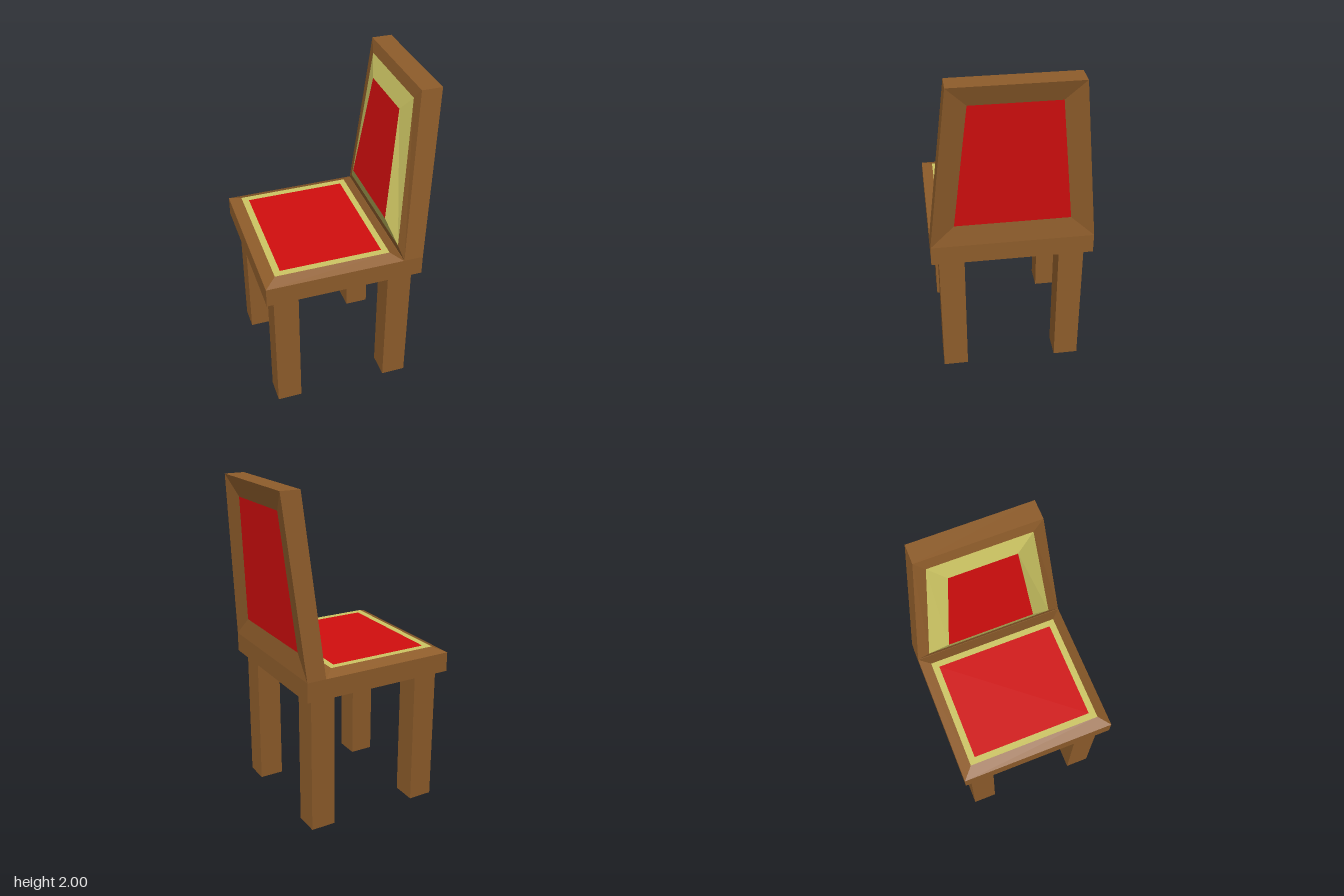
import * as THREE from 'three';

const material = (color) => new THREE.MeshStandardMaterial({ color, flatShading: true });

// Four-corner outlines, counterclockwise as seen from outside
const seatLoop = (y, x0, x1, z) => [[x0, y, z], [x1, y, z], [x1, y, -z], [x0, y, -z]];
const backLoop = (x0, y0, z0, x1, y1, z1) => [[x0, y0, -z0], [x0, y0, z0], [x1, y1, z1], [x1, y1, -z1]];

function quads(name, list, mat) {
  const pos = [];
  for (const [a, b, c, d] of list) pos.push(...a, ...b, ...c, ...a, ...c, ...d);
  const geo = new THREE.BufferGeometry();
  geo.setAttribute('position', new THREE.Float32BufferAttribute(pos, 3));
  geo.computeVertexNormals();
  const mesh = new THREE.Mesh(geo, mat);
  mesh.name = name;
  return mesh;
}

// Strip of four faces between an outer and an inner outline
const ring = (outer, inner) => outer.map((p, i) => {
  const j = (i + 1) % 4;
  return [p, outer[j], inner[j], inner[i]];
});

function box(name, x0, x1, y0, y1, z0, z1, mat) {
  const mesh = new THREE.Mesh(new THREE.BoxGeometry(x1 - x0, y1 - y0, z1 - z0), mat);
  mesh.position.set((x0 + x1) / 2, (y0 + y1) / 2, (z0 + z1) / 2);
  mesh.name = name;
  return mesh;
}

export function createModel() {
  const chair = new THREE.Group();
  chair.name = 'chair';
  const wood = material(0x8f5d2b);
  const red = material(0xd40e0e);
  const cream = material(0xcfc764);

  // Legs
  for (const [label, x] of [['front', -0.395], ['rear', 0.31]]) {
    for (const [side, z] of [['Right', -0.355], ['Left', 0.355]]) {
      chair.add(box(`${label}${side}Leg`, x - 0.075, x + 0.075, 0, 0.85, z - 0.075, z + 0.075, wood));
    }
  }

  // Seat: slab, bevelled rim, piping and cushion
  const rim = seatLoop(0.97, -0.52, 0.31, 0.475);
  const piping = seatLoop(1.0, -0.45, 0.245, 0.41);
  const cushion = seatLoop(1.0, -0.41, 0.207, 0.37);
  chair.add(box('seatSlab', -0.52, 0.43, 0.85, 0.97, -0.475, 0.475, wood));
  chair.add(quads('seatRim', ring(rim, piping), wood));
  chair.add(quads('seatPiping', ring(piping, cushion), cream));
  chair.add(quads('seatCushion', [cushion], red));

  // Backrest: tapered leaning frame with a raised pad facing the seat
  const frontEdge = backLoop(0.313, 0.97, 0.475, 0.395, 2, 0.36);
  const rearEdge = backLoop(0.43, 0.97, 0.475, 0.515, 2, 0.36);
  const padEdge = backLoop(0.3, 1.03, 0.4, 0.38, 1.93, 0.3);
  const pad = backLoop(0.262, 1.15, 0.275, 0.345, 1.82, 0.2);
  chair.add(quads('backrestFrame', [...ring(rearEdge, frontEdge), ...ring(frontEdge, padEdge)], wood));
  chair.add(quads('backrestPiping', ring(padEdge, pad), cream));
  chair.add(quads('backrestCushion', [pad], red));

  // Slightly sunken panel on the rear of the backrest
  const rearOutline = [...rearEdge].reverse();
  const rearPanel = backLoop(0.415, 1.1, 0.335, 0.478, 1.88, 0.25).reverse();
  chair.add(quads('rearFrame', ring(rearOutline, rearPanel), wood));
  chair.add(quads('rearPanel', [rearPanel], red));

  return chair;
}
